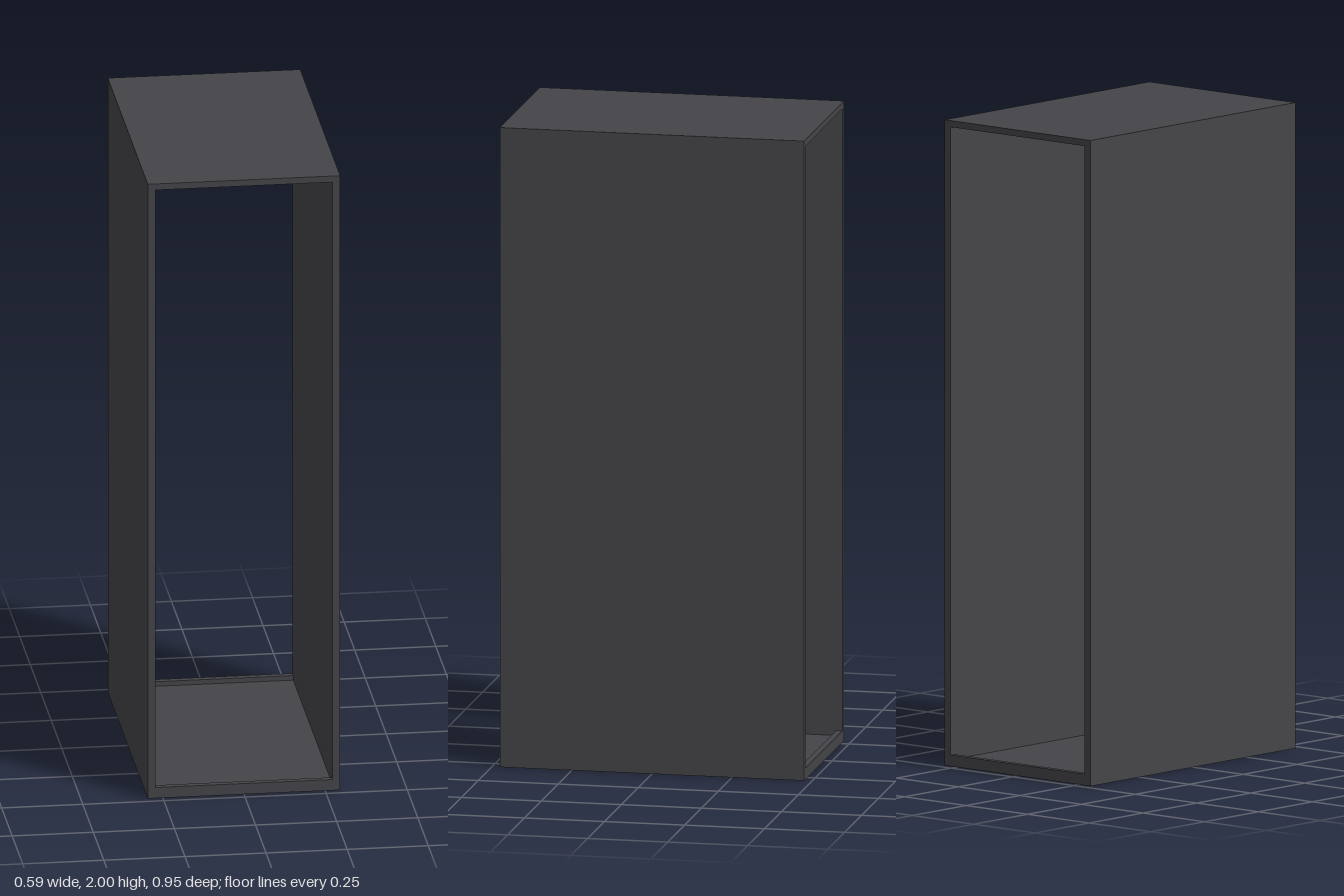
import * as THREE from 'three';

const WIDTH = 0.593, HEIGHT = 2, DEPTH = 0.95;
const SIDE = 0.024, PLATE = 0.02;
const SILL_HEIGHT = 0.035, SILL_DEPTH = 0.02;

// Traces a rectangle onto a shape or path
function rectangle(path, x0, y0, x1, y1) {
  path.moveTo(x0, y0);
  path.lineTo(x1, y0);
  path.lineTo(x1, y1);
  path.lineTo(x0, y1);
  path.closePath();
  return path;
}

export function createModel() {
  const group = new THREE.Group();
  group.name = 'openCabinetShell';
  const charcoal = new THREE.MeshStandardMaterial({ color: 0x454549 });
  charcoal.name = 'charcoal';

  // Tall rectangular sleeve, open at front and back
  const half = WIDTH / 2;
  const outline = rectangle(new THREE.Shape(), -half, 0, half, HEIGHT);
  outline.holes.push(rectangle(new THREE.Path(), -half + SIDE, PLATE, half - SIDE, HEIGHT - PLATE));

  const geometry = new THREE.ExtrudeGeometry(outline, { depth: DEPTH, bevelEnabled: false });
  geometry.translate(0, 0, -DEPTH / 2);

  const shell = new THREE.Mesh(geometry, charcoal);
  shell.name = 'shell';
  group.add(shell);

  // Low sills on the floor along the front and back openings
  const lip = SILL_HEIGHT - PLATE;
  const sillGeometry = new THREE.BoxGeometry(WIDTH - 2 * SIDE, lip, SILL_DEPTH);
  for (const [name, side] of [['frontSill', 1], ['backSill', -1]]) {
    const sill = new THREE.Mesh(sillGeometry, charcoal);
    sill.name = name;
    sill.position.set(0, PLATE + lip / 2, side * (DEPTH - SILL_DEPTH) / 2);
    group.add(sill);
  }
  return group;
}
